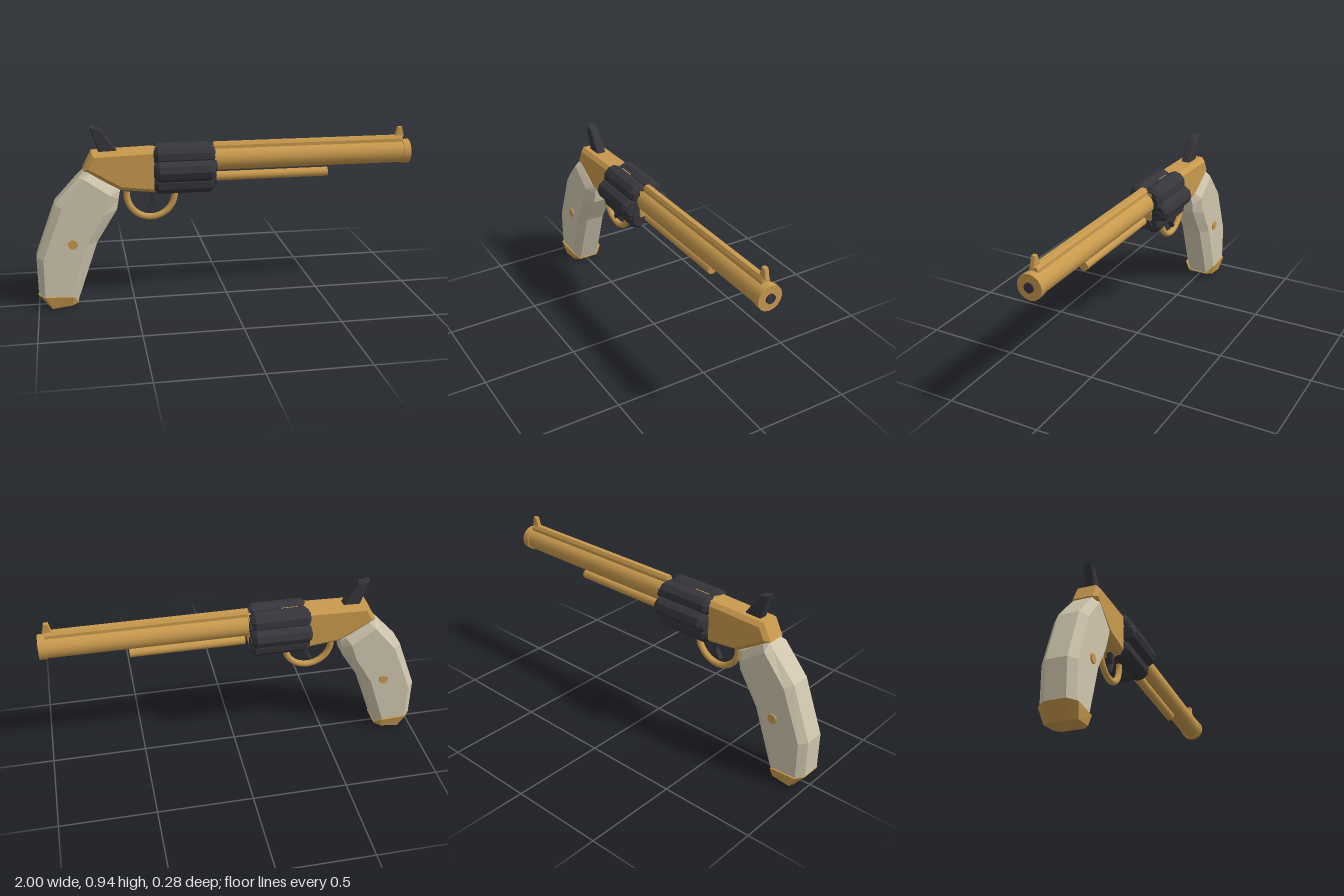
import * as THREE from 'three';

const gold = new THREE.MeshStandardMaterial({ color: 0xc8994d });
gold.name = 'brass';
const dark = new THREE.MeshStandardMaterial({ color: 0x35353b });
dark.name = 'darkSteel';
const ivory = new THREE.MeshStandardMaterial({ color: 0xd0c6ae });
ivory.name = 'ivory';

function flat(geometry) {
  const g = geometry.index ? geometry.toNonIndexed() : geometry;
  g.computeVertexNormals();
  return g;
}

// Side profile in x/y, centred on z, with chamfered edges
function plate(points, halfWidth, bevel) {
  const shape = new THREE.Shape(points.map(([x, y]) => new THREE.Vector2(x, y)));
  const depth = 2 * (halfWidth - bevel);
  const g = new THREE.ExtrudeGeometry(shape, {
    depth, bevelEnabled: bevel > 0, bevelThickness: bevel, bevelSize: bevel, bevelOffset: -bevel, bevelSegments: 1,
  });
  g.translate(0, 0, -depth / 2);
  return flat(g);
}

// Cylinder along x from x0 to x1
function rod(x0, x1, r, sides) {
  return new THREE.CylinderGeometry(r, r, x1 - x0, sides).rotateZ(-Math.PI / 2).translate((x0 + x1) / 2, 0, 0);
}

// Octagonal cross-sections, listed from top to bottom.
// Each is [back, innerBack, innerFront, front, edge half width, side half width]
function loft(sections) {
  const pos = [];
  const rings = sections.map(([b, bi, fi, f, w, W]) => [
    [...b, w], [...bi, W], [...fi, W], [...f, w],
    [...f, -w], [...fi, -W], [...bi, -W], [...b, -w],
  ]);
  const tri = (...p) => p.forEach((v) => pos.push(...v));
  for (let r = 0; r < rings.length - 1; r++) {
    const top = rings[r], bot = rings[r + 1];
    for (let i = 0; i < 8; i++) {
      const j = (i + 1) % 8;
      tri(bot[i], bot[j], top[j]);
      tri(bot[i], top[j], top[i]);
    }
  }
  const first = rings[0], last = rings[rings.length - 1];
  for (let i = 1; i < 7; i++) {
    tri(first[0], first[i], first[i + 1]);
    tri(last[0], last[i + 1], last[i]);
  }
  const g = new THREE.BufferGeometry();
  g.setAttribute('position', new THREE.Float32BufferAttribute(pos, 3));
  g.computeVertexNormals();
  return g;
}

export function createModel() {
  const model = new THREE.Group();
  model.name = 'revolver';
  const add = (name, geometry, material, x = 0, y = 0, z = 0, parent = model) => {
    const mesh = new THREE.Mesh(geometry, material);
    mesh.name = name;
    mesh.position.set(x, y, z);
    parent.add(mesh);
    return mesh;
  };

  // Barrel, muzzle and rod
  add('barrel', rod(-0.07, 0.96, 0.06, 20), gold, 0, 0.75);
  add('muzzleRing', rod(0.955, 0.992, 0.065, 16), gold, 0, 0.75);
  add('bore', rod(0.95, 1, 0.025, 12), dark, 0, 0.75);
  add('ejectorRod', rod(-0.055, 0.545, 0.025, 12), gold, 0, 0.655);

  // Sighting rib with chamfered top edges
  const rib = new THREE.Shape([[-0.022, 0.79], [0.022, 0.79], [0.022, 0.822], [0.012, 0.838], [-0.012, 0.838], [-0.022, 0.822]]
    .map(([x, y]) => new THREE.Vector2(x, y)));
  const ribGeometry = new THREE.ExtrudeGeometry(rib, { depth: 1.025, bevelEnabled: false });
  add('barrelRib', ribGeometry.rotateY(Math.PI / 2), gold, -0.07);
  add('frontSight', plate([[0.915, 0.83], [0.965, 0.83], [0.952, 0.885], [0.93, 0.885]], 0.012, 0.003), gold);

  // Frame
  add('frame', plate([[-0.745, 0.725], [-0.56, 0.615], [-0.36, 0.593], [-0.36, 0.822], [-0.70, 0.812]], 0.068, 0.02), gold);
  add('frameCore', new THREE.BoxGeometry(0.335, 0.15, 0.09), gold, -0.2325, 0.735);
  add('topStrap', new THREE.BoxGeometry(0.09, 0.04, 0.01), gold, -0.29, 0.802);

  // Fluted drum: six chamfered lobes around a core, with chamber mouths at the front
  const drum = new THREE.Group();
  drum.name = 'drum';
  drum.position.y = 0.71;
  model.add(drum);
  add('drumCore', rod(-0.38, -0.075, 0.09, 12), dark, 0, 0, 0, drum);
  const profile = [[0, -0.387], [0.036, -0.387], [0.056, -0.365], [0.056, -0.095], [0.036, -0.072], [0, -0.072]]
    .map(([x, y]) => new THREE.Vector2(x, y));
  const lobe = flat(new THREE.LatheGeometry(profile, 10).rotateZ(-Math.PI / 2));
  const mouth = rod(-0.1, -0.066, 0.028, 10);
  for (let i = 0; i < 6; i++) {
    const a = (i * Math.PI) / 3;
    add('drumLobe', lobe, dark, 0, Math.sin(a) * 0.082, Math.cos(a) * 0.082, drum).rotation.x = -a;
    const m = a + 0.25;
    add('chamberMouth', mouth, dark, 0, Math.sin(m) * 0.082, Math.cos(m) * 0.082, drum);
  }

  // Hammer, trigger and guard
  add('hammer', plate([[-0.705, 0.945], [-0.655, 0.785], [-0.56, 0.80], [-0.65, 0.93]], 0.025, 0.007), dark);
  add('trigger', plate([[-0.415, 0.61], [-0.395, 0.54], [-0.422, 0.492], [-0.408, 0.48], [-0.372, 0.535], [-0.375, 0.61]], 0.014, 0.003), dark);
  const guard = new THREE.TorusGeometry(0.125, 0.017, 8, 24, Math.PI * 1.1).rotateZ(Math.PI * 0.95);
  add('triggerGuard', guard, gold, -0.4, 0.577);

  // Grip with chamfered edges
  add('grip', loft([
    [[-0.735, 0.725], [-0.71, 0.709], [-0.59, 0.628], [-0.562, 0.61], 0.045, 0.06],
    [[-0.77, 0.69], [-0.74, 0.685], [-0.615, 0.595], [-0.57, 0.57], 0.052, 0.087],
    [[-0.895, 0.555], [-0.86, 0.54], [-0.65, 0.495], [-0.58, 0.515], 0.052, 0.087],
    [[-1, 0.275], [-0.965, 0.27], [-0.742, 0.34], [-0.687, 0.345], 0.052, 0.087],
    [[-0.998, 0.078], [-0.965, 0.068], [-0.84, 0.04], [-0.798, 0.026], 0.052, 0.087],
  ]), ivory);
  add('gripPin', new THREE.CylinderGeometry(0.025, 0.025, 0.19, 12).rotateX(Math.PI / 2), gold, -0.812, 0.348);

  // Flared butt cap
  add('buttCap', loft([
    [[-1, 0.075], [-0.965, 0.07], [-0.822, 0.064], [-0.795, 0.024], 0.055, 0.095],
    [[-0.94, 0], [-0.93, 0.001], [-0.83, 0.013], [-0.797, 0.018], 0.055, 0.082],
  ]), gold);

  return model;
}
